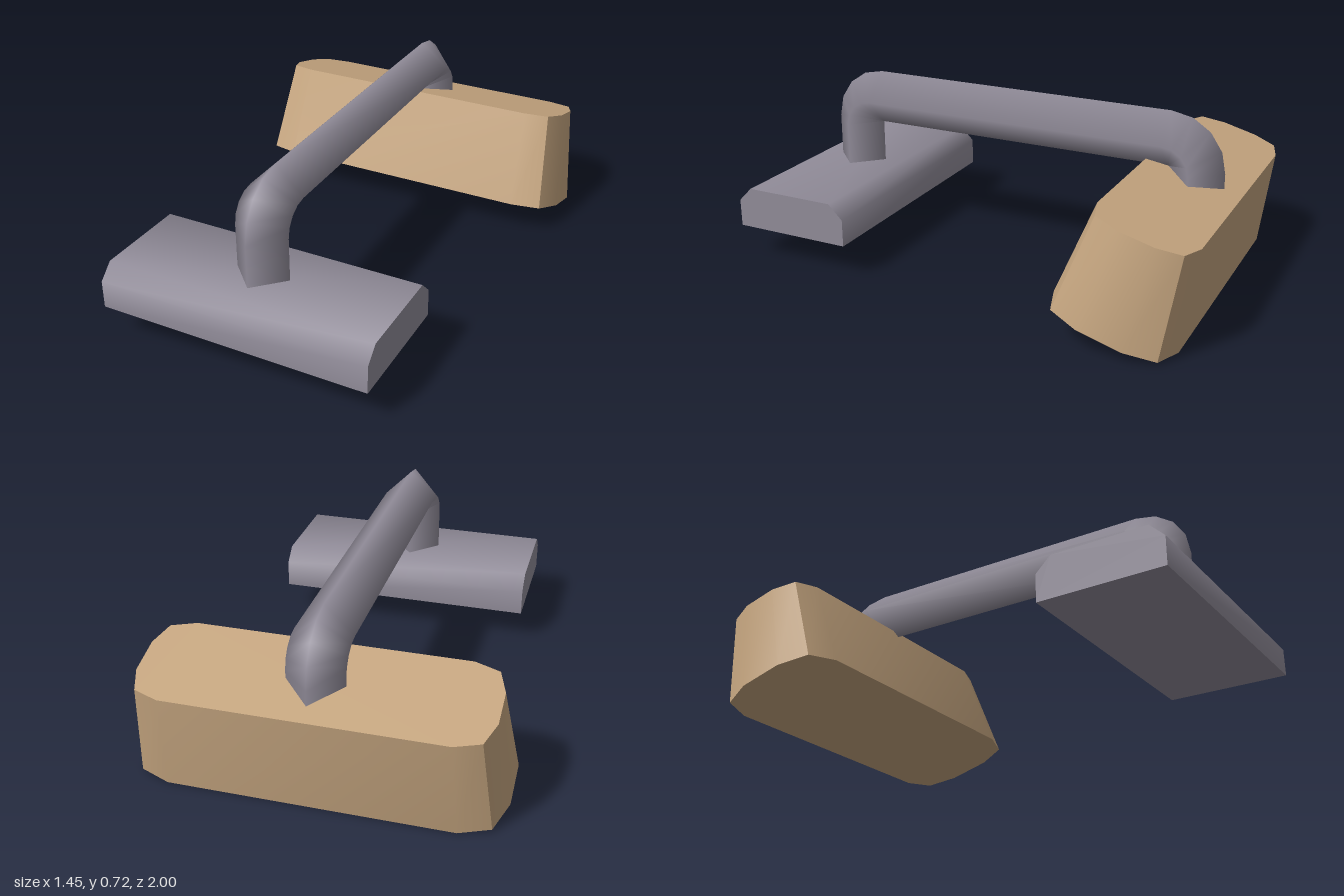
import * as THREE from 'three';
import { toCreasedNormals } from 'three/addons/utils/BufferGeometryUtils.js';

// Joins equal-length rings (counter-clockwise about the direction of travel) with quads.
function ringIndices(rings, sides) {
  const index = [];
  for (let r = 0; r < rings - 1; r++) {
    for (let k = 0; k < sides; k++) {
      const a = r * sides + k, b = r * sides + (k + 1) % sides;
      index.push(a, b, b + sides, a, b + sides, a + sides);
    }
  }
  return index;
}

function meshGeometry(positions, index) {
  const geo = new THREE.BufferGeometry();
  geo.setAttribute('position', new THREE.Float32BufferAttribute(positions, 3));
  geo.setIndex(index);
  return geo;
}

// Four-sided smooth bar: up from the base, over two bends, down into the block.
function barGeometry() {
  const radius = 0.115, positions = [], normals = [];
  let rings = 0;
  const addRing = (y, z, angle) => {
    const n = [0, Math.sin(angle), Math.cos(angle)];
    for (const d of [n, [1, 0, 0], n.map(v => -v), [-1, 0, 0]]) {
      positions.push(d[0] * radius, y + d[1] * radius, z + d[2] * radius);
      normals.push(...d);
    }
    rings++;
  };
  const addBend = (y, z, start) => {
    for (let i = 0; i <= 4; i++) {
      const a = start + i * Math.PI / 8;
      addRing(y + Math.sin(a) * radius, z + Math.cos(a) * radius, a);
    }
  };
  addRing(0.28, 0.743, 0);
  addBend(0.49, 0.628, 0);
  addBend(0.49, -0.695, Math.PI / 2);
  addRing(0.38, -0.81, Math.PI);
  const geo = meshGeometry(positions, ringIndices(rings, 4));
  geo.setAttribute('normal', new THREE.Float32BufferAttribute(normals, 3));
  return geo;
}

// Tilted, tapered block with clipped corners.
function blockGeometry() {
  const depth = [1, 0.84, 0.36];
  const levels = [
    { x: [0.56, 0.68, 0.725], front: [0.135, -0.452], back: [0.0, -0.945] },
    { x: [0.54, 0.64, 0.675], front: [0.515, -0.608], back: [0.41, -1.0] },
  ];
  const positions = [];
  for (const { x, front, back } of levels) {
    const quarter = x.map((v, i) => [v, depth[i]]);
    const half = [...quarter, ...quarter.map(([v, d]) => [v, -d]).reverse()];
    for (const [px, d] of [...half, ...half.map(([v, e]) => [-v, -e])]) {
      const t = (1 - d) / 2;
      positions.push(px,
        THREE.MathUtils.lerp(front[0], back[0], t),
        THREE.MathUtils.lerp(front[1], back[1], t));
    }
  }
  const index = ringIndices(2, 12);
  for (let i = 1; i < 11; i++) index.push(0, i + 1, i, 12, 12 + i, 13 + i);
  return toCreasedNormals(meshGeometry(positions, index), 0.6);
}

// Base plate: bevelled profile in z and y, extruded across x.
function baseGeometry() {
  const profile = [[0.485, 0.135], [1, 0.135], [1, 0.25], [0.94, 0.31], [0.547, 0.31], [0.485, 0.25]];
  const shape = new THREE.Shape(profile.map(p => new THREE.Vector2(...p)));
  const geo = new THREE.ExtrudeGeometry(shape, { depth: 1.13, bevelEnabled: false });
  geo.rotateY(-Math.PI / 2).translate(0.565, 0, 0);
  return toCreasedNormals(geo, 0.9);
}

export function createModel() {
  const metal = new THREE.MeshStandardMaterial({ color: 0x918c99 });
  metal.name = 'grey metal';
  const wood = new THREE.MeshStandardMaterial({ color: 0xc6a680 });
  wood.name = 'tan wood';

  const model = new THREE.Group();
  model.name = 'bentBarWithBlock';
  const add = (name, geometry, material) => {
    const mesh = new THREE.Mesh(geometry, material);
    mesh.name = name;
    model.add(mesh);
  };
  add('basePlate', baseGeometry(), metal);
  add('bentBar', barGeometry(), metal);
  add('taperedBlock', blockGeometry(), wood);
  return model;
}
